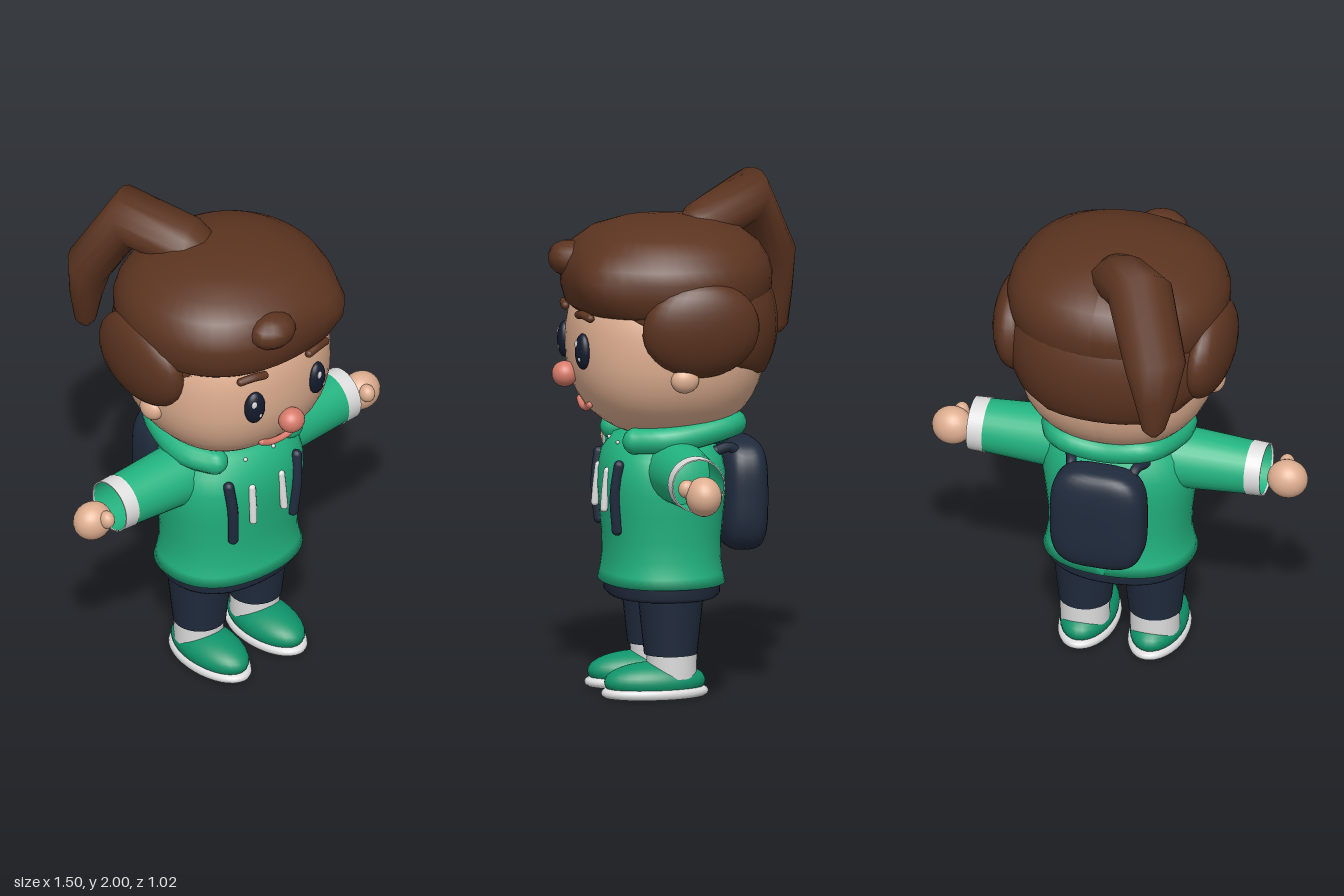
import * as THREE from 'three';

const mat = (name, color, side = THREE.FrontSide) => {
  const m = new THREE.MeshStandardMaterial({ color, side });
  m.name = name;
  return m;
};
const V = (x, y, z) => new THREE.Vector3(x, y, z);

export function createModel() {
  const model = new THREE.Group();
  const skin = mat('skin', 0xdeae90);
  const hair = mat('hair brown', 0x5c3420);
  const green = mat('hoodie green', 0x22b481, THREE.DoubleSide);
  const shoeGreen = mat('shoe green', 0x0f946a);
  const navy = mat('navy', 0x202b3d);
  const white = mat('off white', 0xdedede, THREE.DoubleSide);
  const dark = mat('eye dark', 0x131b2c);
  const pink = mat('nose and mouth pink', 0xd67a6a);

  const add = (name, geo, material, pos = [0, 0, 0], parent = model) => {
    const m = new THREE.Mesh(geo, material);
    m.name = name;
    m.position.set(...pos);
    parent.add(m);
    return m;
  };
  const ball = (name, material, pos, r, parent = model, seg = 24) =>
    add(name, new THREE.SphereGeometry(1, seg, Math.ceil(seg * 0.7)).scale(...r), material, pos, parent);
  // Moves every vertex by a rule
  const warp = (geo, rule) => {
    const p = geo.attributes.position, v = V(0, 0, 0);
    for (let i = 0; i < p.count; i++) {
      rule(v.fromBufferAttribute(p, i));
      p.setXYZ(i, v.x, v.y, v.z);
    }
    geo.computeVertexNormals();
    return geo;
  };
  // Pushes the diagonals of a round section outward by a fraction
  const squarer = (v, amount) => {
    const r2 = v.x * v.x + v.z * v.z;
    const f = r2 > 1e-8 ? 1 + amount * 4 * (v.x * v.z / r2) ** 2 : 1;
    v.x *= f;
    v.z *= f;
  };
  const roundSection = (pts, zScale, square) =>
    warp(new THREE.LatheGeometry(pts.map(p => new THREE.Vector2(...p)), 48).rotateY(Math.PI), v => {
      squarer(v, square);
      v.z *= zScale;
    });
  // Tube closed with round ends
  const cord = (name, material, pts, r) => {
    const g = new THREE.Group();
    g.name = name;
    model.add(g);
    add(name + 'Body', new THREE.TubeGeometry(new THREE.CatmullRomCurve3(pts), 32, r, 12), material, [0, 0, 0], g);
    [pts[0], pts[pts.length - 1]].forEach(p => ball(name + 'End', material, p.toArray(), [r, r, r], g, 12));
  };

  // Head: slightly squared ball
  const headPts = [];
  for (let i = 0; i <= 24; i++) {
    const a = -Math.PI / 2 + (i / 24) * Math.PI, k = 2 / 2.3;
    headPts.push([0.39 * Math.pow(Math.abs(Math.cos(a)), k),
      1.37 + 0.365 * Math.sign(Math.sin(a)) * Math.pow(Math.abs(Math.sin(a)), k)]);
  }
  headPts[0][0] = headPts[24][0] = 0;
  add('head', roundSection(headPts, 0.975, 0.05), skin, [0, 0, 0.055]);

  // Hair cap with a rolled fringe, swelling into a lock on one side
  const cap = roundSection([[0.3, 1.525], [0.385, 1.51], [0.41, 1.53], [0.427, 1.59], [0.43, 1.65], [0.415, 1.7],
    [0.38, 1.755], [0.31, 1.805], [0.2, 1.84], [0.1, 1.852], [0, 1.856]], 0.945, 0.03);
  warp(cap, v => {
    const d = (v.x - 0.25) ** 2 + (v.y - 1.63) ** 2 + (v.z - 0.32) ** 2;
    const f = 1 + 0.11 * Math.exp(-d / 0.012);
    v.x *= f;
    v.z *= f;
  });
  add('hairCap', cap, hair, [0, 0, 0.05]);
  // Back hair, cut along a slope that drops to the nape
  add('backHair', warp(new THREE.SphereGeometry(1, 36, 32).scale(0.415, 0.39, 0.385), v => {
    squarer(v, 0.045);
    const low = -0.06 + 0.45 * v.z;
    if (v.y < low) { v.y = low; v.x *= 0.97; v.z *= 0.97; }
  }), hair, [0, 1.45, 0.01]);
  ball('foreheadTuft', hair, [-0.07, 1.695, 0.42], [0.1, 0.07, 0.08], model, 12);

  // Ponytail: elliptical rings lofted along a bent path [x, y, z, half width, half thickness, ring lean]
  const rings = [[0.0, 1.79, -0.02, 0.01, 0.01, 1.4], [-0.005, 1.79, -0.035, 0.07, 0.08, 1.4],
    [-0.035, 1.795, -0.085, 0.118, 0.11, 1.4], [-0.185, 1.888, -0.31, 0.13, 0.118, 1.2],
    [-0.28, 1.645, -0.428, 0.122, 0.092, 0.5], [-0.285, 1.5, -0.445, 0.084, 0.064, 0.25],
    [-0.28, 1.37, -0.455, 0.046, 0.042, 0], [-0.28, 1.34, -0.455, 0.018, 0.02, 0]];
  const n = 16, pos = [], idx = [];
  rings.forEach(([x, y, z, w, t, lean], r) => {
    for (let i = 0; i < n; i++) {
      const a = (i / n) * Math.PI * 2, s = Math.cos(a) * w, o = Math.sin(a) * t;
      const out = o * Math.cos(lean);
      pos.push(x + 0.87 * s - 0.48 * out, y + o * Math.sin(lean), z - 0.48 * s - 0.87 * out);
      if (r < rings.length - 1) {
        const p = r * n + i, q = r * n + (i + 1) % n;
        idx.push(p, q, p + n, q, q + n, p + n);
      }
    }
  });
  const tail = new THREE.BufferGeometry();
  tail.setAttribute('position', new THREE.Float32BufferAttribute(pos, 3));
  // Choose the winding that faces outward by the sign of the enclosed volume
  let volume = 0;
  const at = i => V(pos[i * 3], pos[i * 3 + 1] - 1.7, pos[i * 3 + 2] + 0.3);
  for (let i = 0; i < idx.length; i += 3) volume += at(idx[i]).dot(at(idx[i + 1]).cross(at(idx[i + 2])));
  tail.setIndex(volume > 0 ? idx : idx.reverse());
  tail.computeVertexNormals();
  add('ponytail', tail, hair);

  // Nose and mouth
  ball('nose', pink, [0, 1.255, 0.452], [0.053, 0.05, 0.05]);
  cord('mouth', pink, [V(-0.083, 1.143, 0.372), V(-0.045, 1.127, 0.374), V(0, 1.122, 0.374),
    V(0.045, 1.127, 0.374), V(0.083, 1.143, 0.372)], 0.013);

  // Torso and shorts waist
  add('hoodieBody', roundSection([[0.25, 0.445], [0.3, 0.44], [0.288, 0.48], [0.278, 0.54], [0.28, 0.62], [0.292, 0.72],
    [0.302, 0.8], [0.3, 0.87], [0.282, 0.94], [0.23, 1.0], [0.12, 1.03], [0, 1.035]], 0.8, 0.045), green, [0, 0, 0.069]);
  add('shortsWaist', roundSection([[0, 0.385], [0.265, 0.385], [0.28, 0.4], [0.28, 0.46]], 0.78, 0.04), navy, [0, 0, 0.067]);
  // Backpack: a ball swollen toward a box
  add('backpack', warp(new THREE.SphereGeometry(1, 40, 32), v => {
    const k = 3.6;
    v.multiplyScalar(Math.pow(Math.abs(v.x) ** k + Math.abs(v.y) ** k + Math.abs(v.z) ** k, -1 / k));
    v.multiply(V(0.188, 0.218, 0.092));
  }), navy, [0, 0.768, -0.24]);
  // Hood rolled around the neck, open at the front and peaked at the back corners
  const half = [V(0.188, 1.012, 0.215), V(0.24, 1.018, 0.12), V(0.24, 1.033, 0.0), V(0.17, 1.064, -0.17)];
  const mirrored = half.map(p => V(-p.x, p.y, p.z)).reverse();
  cord('hoodRoll', green, [...half, V(0, 1.047, -0.19), ...mirrored], 0.052);
  ball('hoodBack', green, [0, 1.025, -0.09], [0.21, 0.06, 0.125]);

  for (const s of [1, -1]) {
    const side = s > 0 ? 'left' : 'right';
    // Face and hair sides
    const eye = new THREE.Group();
    eye.name = side + 'Eye';
    eye.position.set(s * 0.155, 1.365, 0.416);
    eye.rotation.y = s * 0.25;
    model.add(eye);
    ball(side + 'Eyeball', dark, [0, 0, 0], [0.043, 0.07, 0.028], eye);
    ball(side + 'EyeGlint', white, [-0.012, 0.028, 0.023], [0.012, 0.016, 0.005], eye, 12);
    ball(side + 'EyeSmallGlint', white, [0.014, -0.028, 0.023], [0.007, 0.009, 0.004], eye, 12);
    cord(side + 'Brow', hair, [V(s * 0.112, 1.502, 0.423), V(s * 0.16, 1.509, 0.417), V(s * 0.212, 1.502, 0.4)], 0.016);
    ball(side + 'Ear', skin, [s * 0.38, 1.275, 0.065], [0.04, 0.05, 0.055]);
    ball(side + 'HairPuff', hair, [s * 0.375, 1.47, 0], [0.098, 0.192, 0.232]).rotation.z = -s * 0.1;

    // Arm: open sleeve, cuff, hand
    const along = (name, r0, r1, x0, x1, material) => {
      const g = new THREE.CylinderGeometry(r1, r0, x1 - x0, 28, 1, true).rotateZ(-s * Math.PI / 2);
      add(side + name, g, material, [s * (x0 + x1) / 2, 0.895, 0.06]);
    };
    along('Sleeve', 0.126, 0.102, 0.18, 0.58, green);
    along('Cuff', 0.108, 0.105, 0.525, 0.588, white);
    const lip = new THREE.RingGeometry(0.1, 0.105, 28).rotateY(Math.PI / 2);
    add(side + 'CuffLip', lip, white, [s * 0.588, 0.895, 0.06]);
    ball(side + 'Hand', skin, [s * 0.672, 0.868, 0.06], [0.08, 0.077, 0.07]);
    ball(side + 'Thumb', skin, [s * 0.652, 0.897, 0.122], [0.03, 0.036, 0.034], model, 16);

    // Backpack strap and hoodie string
    cord(side + 'Strap', navy, [V(s * 0.15, 0.66, 0.28), V(s * 0.16, 0.8, 0.29), V(s * 0.17, 0.915, 0.277)], 0.021);
    cord(side + 'StrapTop', navy, [V(s * 0.12, 0.94, -0.21), V(s * 0.13, 0.965, -0.17), V(s * 0.15, 0.955, -0.11)], 0.02);
    cord(side + 'String', white, [V(s * 0.073, 0.88, 0.3), V(s * 0.075, 0.8, 0.309), V(s * 0.077, 0.735, 0.314)], 0.015);
    ball(side + 'Eyelet', white, [s * 0.07, 0.99, 0.258], [0.008, 0.008, 0.008], model, 10);

    // Leg, sock and shoe
    const x = s * 0.14;
    add(side + 'TrouserLeg', new THREE.CylinderGeometry(0.133, 0.103, 0.28, 28), navy, [x, 0.31, 0.065]);
    add(side + 'Sock', new THREE.CylinderGeometry(0.098, 0.096, 0.1, 28), white, [x, 0.13, 0.06]);
    add(side + 'Shoe', warp(new THREE.SphereGeometry(1, 28, 20).scale(0.106, 0.076, 0.2), v => {
      v.y = Math.max(v.y, -0.05);
    }), shoeGreen, [x, 0.064, 0.128]);
    add(side + 'Sole', new THREE.TorusGeometry(0.098, 0.016, 12, 36).rotateX(Math.PI / 2).scale(1, 1.25, 1.86),
      white, [x, 0.022, 0.128]);
    add(side + 'SoleBottom', new THREE.CylinderGeometry(0.098, 0.098, 0.03, 32).scale(1, 1, 1.86),
      shoeGreen, [x, 0.024, 0.128]);
  }
  return model;
}
